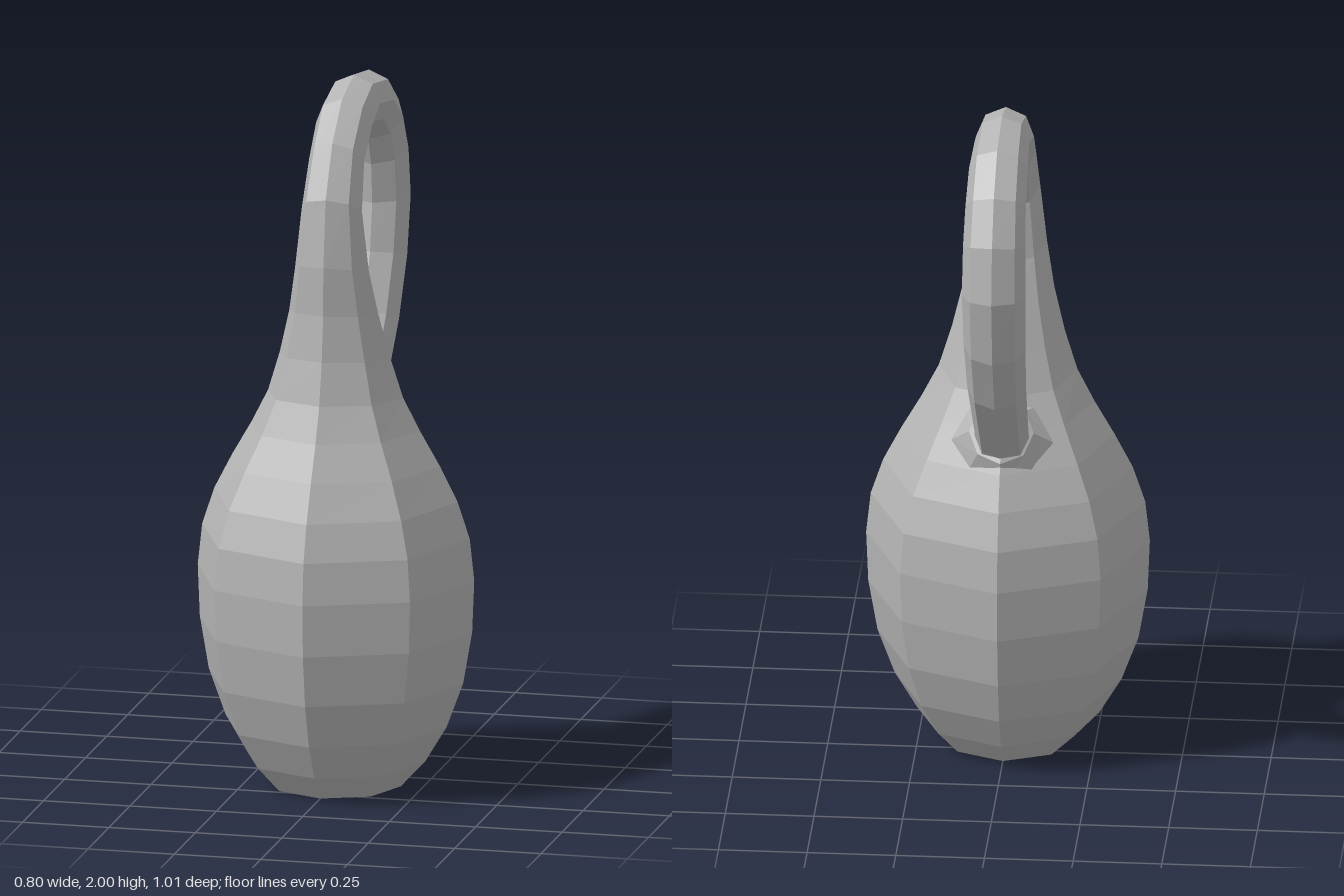
import * as THREE from 'three';

const SIDES = 8;

// Lofts octagonal rings; each ring is [outerZ, outerY, innerZ, innerY],
// two opposite points of a circle on the x = 0 plane.
function loft(rings) {
  const pos = [], index = [];
  for (const [oz, oy, iz, iy] of rings) {
    const cz = (oz + iz) / 2, cy = (oy + iy) / 2;
    const hz = (oz - iz) / 2, hy = (oy - iy) / 2;
    const r = Math.hypot(hz, hy);
    for (let j = 0; j < SIDES; j++) {
      const a = (j / SIDES) * Math.PI * 2;
      pos.push(r * Math.sin(a), cy + hy * Math.cos(a), cz + hz * Math.cos(a));
    }
  }
  for (let i = 0; i < rings.length - 1; i++) {
    for (let j = 0; j < SIDES; j++) {
      const a = i * SIDES + j, b = i * SIDES + (j + 1) % SIDES;
      index.push(a, b, b + SIDES, a, b + SIDES, a + SIDES);
    }
  }
  const g = new THREE.BufferGeometry();
  g.setAttribute('position', new THREE.Float32BufferAttribute(pos, 3));
  g.setIndex(index);
  const flat = g.toNonIndexed();
  flat.computeVertexNormals();
  return flat;
}

export function createModel() {
  const group = new THREE.Group();
  group.name = 'loopedBottle';
  const grey = new THREE.MeshStandardMaterial({ color: 0xb4b4b4, flatShading: true, side: THREE.DoubleSide });
  grey.name = 'grey';

  const add = (name, rings) => {
    const mesh = new THREE.Mesh(loft(rings), grey);
    mesh.name = name;
    group.add(mesh);
  };

  // Upright belly: [radius, height], starting at the rim of the base hole
  const belly = [
    [0.12, 0], [0.187, 0], [0.257, 0.075], [0.32, 0.18], [0.368, 0.31], [0.394, 0.46],
    [0.4, 0.61], [0.387, 0.73], [0.352, 0.835],
  ].map(([r, y]) => [0.105 + r, y, 0.105 - r, y]);
  const shoulder = [0.405, 0.94, -0.197, 0.93];
  add('belly', [...belly, shoulder]);

  // Neck narrowing upwards and leaning into the loop
  const neckTop = [0.256, 1.53, 0.05, 1.475];
  add('neck', [
    shoulder, [0.35, 1.04, -0.137, 1.03], [0.305, 1.14, -0.085, 1.12],
    [0.275, 1.26, -0.043, 1.23], [0.258, 1.39, 0.003, 1.355], neckTop,
  ]);

  // Handle arching over the top and back down to the wall
  const entry = [-0.17, 0.97, -0.09, 1.1];
  add('handleLoop', [
    neckTop, [0.229, 1.72, 0.08, 1.63], [0.149, 1.865, 0.045, 1.745], [0.032, 1.965, -0.015, 1.81],
    [-0.11, 2, -0.1, 1.847], [-0.285, 1.972, -0.21, 1.825], [-0.41, 1.88, -0.28, 1.77],
    [-0.477, 1.755, -0.313, 1.69], [-0.504, 1.59, -0.325, 1.575], [-0.467, 1.39, -0.3, 1.44],
    [-0.38, 1.215, -0.23, 1.285], entry,
  ]);

  // Tube continuing inside the belly to the hole in the base
  add('innerTube', [
    entry, [-0.06, 0.8, 0.07, 0.9], [0.005, 0.65, 0.165, 0.69], [0.02, 0.45, 0.19, 0.45],
    [0.015, 0.2, 0.195, 0.2], [-0.015, 0, 0.225, 0],
  ]);

  // Soft collar where the handle enters the wall
  add('entryCollar', [[-0.187, 0.962, -0.083, 1.112], [-0.17, 0.87, -0.03, 1.12]]);

  return group;
}
